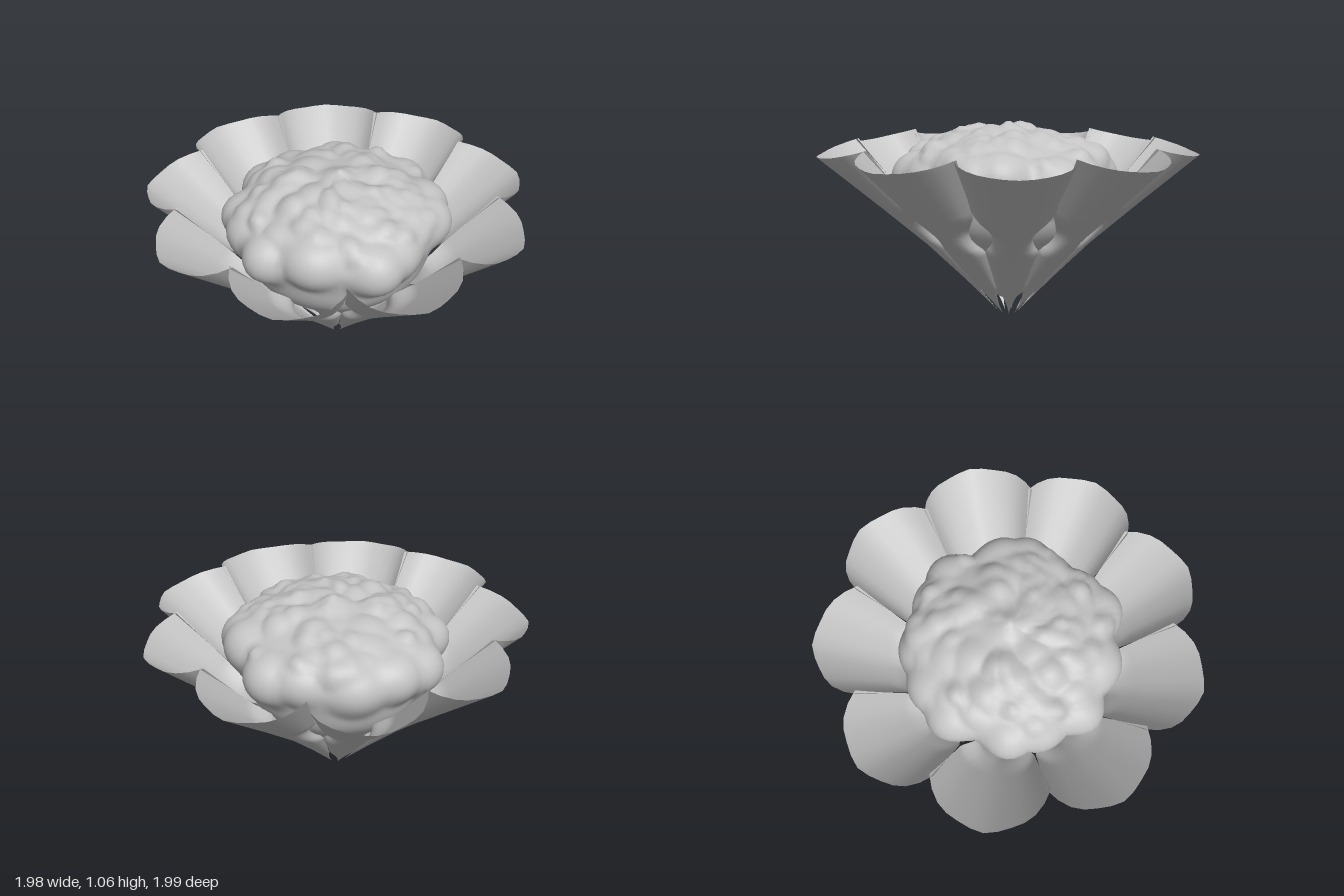
import * as THREE from 'three';
import { mergeVertices } from 'three/addons/utils/BufferGeometryUtils.js';

// piecewise-linear lookup in [key, value] pairs
function lookup(pairs, k) {
  for (let i = 1; i < pairs.length; i++) {
    const [k0, v0] = pairs[i - 1], [k1, v1] = pairs[i];
    if (k <= k1) return v0 + (v1 - v0) * (k - k0) / (k1 - k0);
  }
  return pairs[pairs.length - 1][1];
}

// small seeded generator
function seeded(seed) {
  return () => (seed = (seed * 16807) % 2147483647) / 2147483647;
}

// height along the leaf -> outward reach of its midrib
const REACH = [[0, 0.05], [0.2, 0.24], [0.4, 0.44], [0.62, 0.69], [0.89, 1.005]];
// height -> share of the sector the leaf fills (pointed foot, notch half way up)
const FILL = [[0, 0.03], [0.06, 0.4], [0.17, 0.98], [0.4, 1], [0.43, 0.8], [0.47, 0.66],
  [0.51, 0.64], [0.55, 0.8], [0.59, 0.98], [0.75, 1.01], [0.89, 1.04]];

// cupped leaf pointing along +x, with its foot near the origin
function leafGeometry() {
  const cols = 12, rows = 40;
  const geo = new THREE.PlaneGeometry(1, 1, cols, rows);
  const pos = geo.attributes.position;
  for (let i = 0; i < pos.count; i++) {
    const u = pos.getX(i) * 2, t = pos.getY(i) + 0.5;
    const h = 0.89 * t, a = Math.abs(u), depth = 0.23 * Math.pow(t, 1.5);
    const reach = lookup(REACH, h);
    const half = Math.max(reach - depth, 0.02) * Math.tan(Math.PI / 9) * lookup(FILL, h);
    const flute = 0.008 * Math.cos(u * 9) * t * (1 - a);
    pos.setXYZ(i, reach - depth * Math.pow(a, 1.9) + flute, h + 0.06 * a * a * t,
      half * Math.sin(u * 1.35) / Math.sin(1.35));
  }
  geo.computeVertexNormals();
  return geo;
}

// lumpy dome tapering to a stem
function headGeometry() {
  const profile = new THREE.SplineCurve([
    [0, 0.09], [0.08, 0.11], [0.25, 0.3], [0.455, 0.5], [0.52, 0.66], [0.54, 0.78],
    [0.49, 0.875], [0.38, 0.935], [0.2, 0.985], [0, 1.005]
  ].map(([x, y]) => new THREE.Vector2(x, y))).getPoints(64);
  profile[0].x = profile[64].x = 0;
  let geo = new THREE.LatheGeometry(profile, 100);
  geo.deleteAttribute('uv');
  geo.deleteAttribute('normal');
  geo = mergeVertices(geo, 1e-4);
  geo.computeVertexNormals();

  // lobes around the rim and uneven florets over the dome
  const rand = seeded(4711), lumps = [];
  for (let i = 0; i < 13; i++) {
    const a = (i + rand() * 0.7) / 13 * Math.PI * 2;
    const centre = new THREE.Vector3(Math.cos(a) * 0.54, 0.72 + rand() * 0.14, Math.sin(a) * 0.54);
    lumps.push([centre, 0.15 + rand() * 0.05, 0.04 + rand() * 0.05]);
  }
  for (let i = 0; i < 110; i++) {
    const r = 0.52 * Math.sqrt(rand()), a = rand() * Math.PI * 2;
    const centre = new THREE.Vector3(Math.cos(a) * r, 1.005 - 0.13 * (r / 0.49) ** 2, Math.sin(a) * r);
    lumps.push([centre, 0.07 + rand() * 0.06, 0.02 + rand() * 0.035]);
  }
  const pos = geo.attributes.position, nor = geo.attributes.normal;
  const p = new THREE.Vector3(), n = new THREE.Vector3();
  for (let i = 0; i < pos.count; i++) {
    p.fromBufferAttribute(pos, i);
    n.fromBufferAttribute(nor, i);
    let push = 0;
    for (const [centre, size, height] of lumps) {
      const d = p.distanceTo(centre) / size;
      if (d < 1) push = Math.max(push, height * (1 - d * d) ** 1.5);
    }
    p.addScaledVector(n, push);
    pos.setXYZ(i, p.x, p.y, p.z);
  }
  geo.computeVertexNormals();
  return geo;
}

export function createModel() {
  const model = new THREE.Group();
  model.name = 'leafyHead';
  const grey = new THREE.MeshStandardMaterial({ color: 0xc4c4c4, side: THREE.DoubleSide });
  grey.name = 'plain grey';

  // ring of nine leaves
  const leaves = new THREE.Group();
  leaves.name = 'leaves';
  leaves.position.x = 0.02;
  const leaf = leafGeometry();
  for (let i = 0; i < 9; i++) {
    const mesh = new THREE.Mesh(leaf, grey);
    mesh.name = 'leaf' + (i + 1);
    mesh.rotation.y = -THREE.MathUtils.degToRad(18 + 40 * i);
    leaves.add(mesh);
  }
  model.add(leaves);

  // lumpy centre
  const head = new THREE.Mesh(headGeometry(), grey);
  head.name = 'floretHead';
  head.position.x = 0.02;
  model.add(head);
  return model;
}
